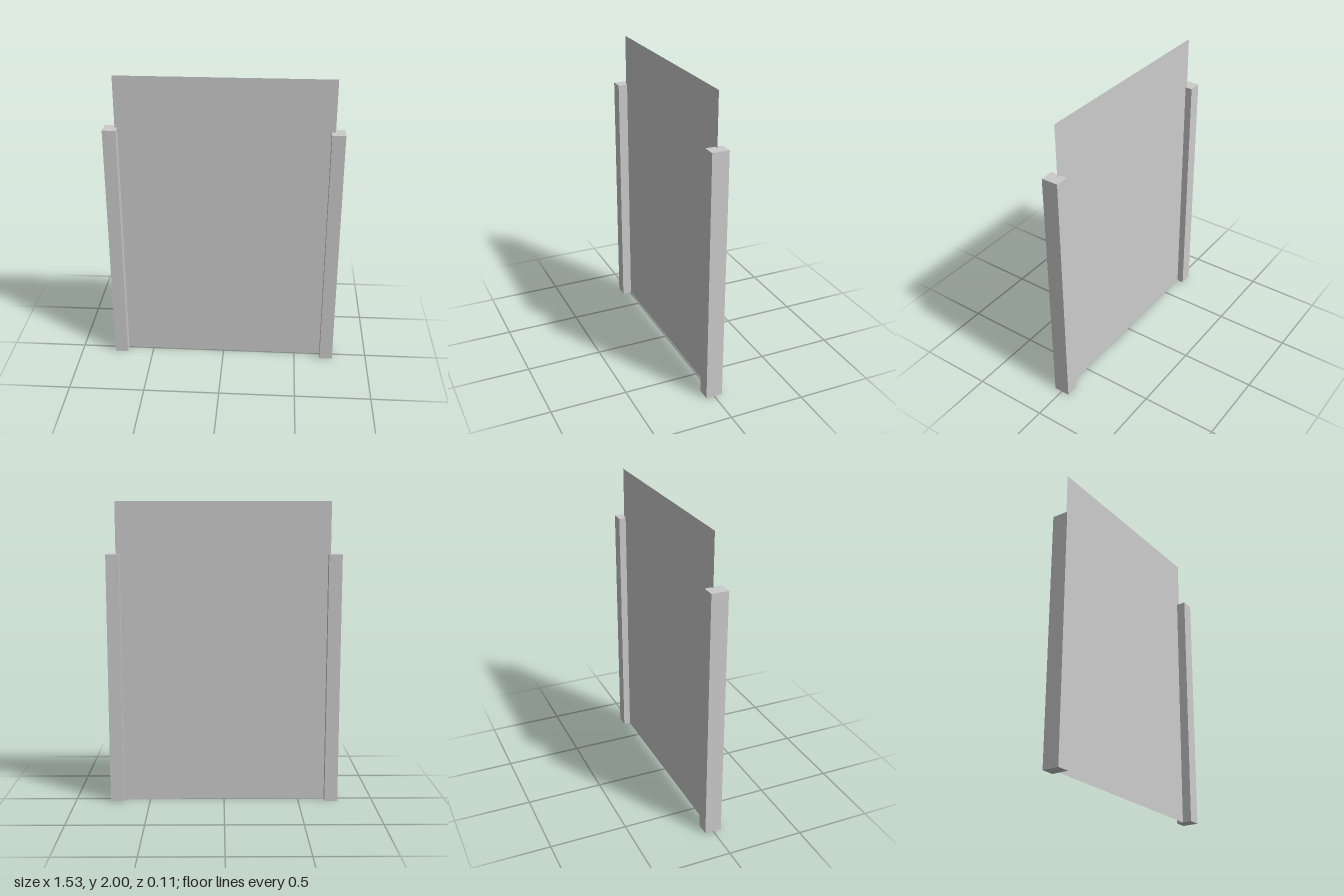
import * as THREE from 'three';

export function createModel() {
  const group = new THREE.Group();
  const grey = new THREE.MeshStandardMaterial({ color: 0xcccccc, flatShading: true });
  const thin = new THREE.MeshStandardMaterial({ color: 0xcccccc, side: THREE.DoubleSide });

  // Two square-cut side posts
  const postHeight = 1.66;
  for (const [name, side] of [['leftPost', 1], ['rightPost', -1]]) {
    const post = new THREE.Mesh(new THREE.BoxGeometry(0.087, postHeight, 0.11), grey);
    post.name = name;
    post.position.set(side * 0.722, postHeight / 2, 0);
    group.add(post);
  }

  // Thin flat panel held between the posts
  const panel = new THREE.Mesh(new THREE.PlaneGeometry(1.4, 2), thin);
  panel.name = 'panel';
  panel.position.set(0.005, 1, -0.008);
  group.add(panel);

  return group;
}
